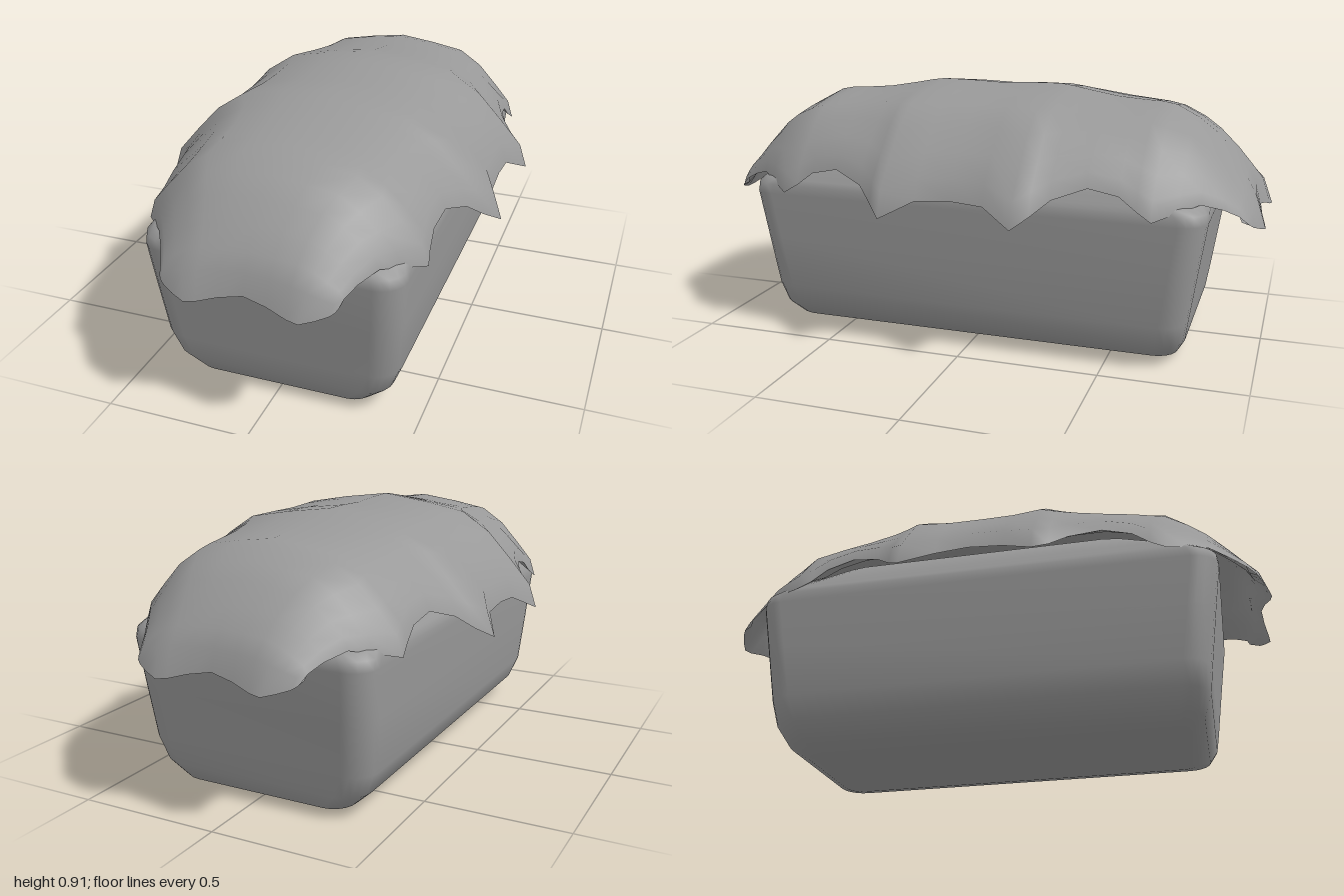
import * as THREE from 'three';

const material = new THREE.MeshStandardMaterial({ color: 0x999999, side: THREE.DoubleSide });

// Joins equal-length rows of points into one smooth surface
function skin(rows, closed) {
  const n = rows[0].length, index = [];
  for (let r = 0; r < rows.length - 1; r++) {
    for (let i = 0; i < (closed ? n : n - 1); i++) {
      const j = (i + 1) % n, a = r * n + i, b = r * n + j;
      index.push(a, a + n, b, b, a + n, b + n);
    }
  }
  const geo = new THREE.BufferGeometry();
  geo.setAttribute('position', new THREE.Float32BufferAttribute(rows.flat(2), 3));
  geo.setIndex(index);
  geo.computeVertexNormals();
  return geo;
}

// Rounded rectangle at height y
function ring(y, hx, hz, r) {
  const pts = [], steps = 5;
  for (let c = 0; c < 4; c++) {
    const sx = c === 0 || c === 3 ? 1 : -1, sz = c < 2 ? 1 : -1;
    for (let i = 0; i <= steps; i++) {
      const a = (c + i / steps) * Math.PI / 2;
      pts.push([sx * (hx - r) + r * Math.cos(a), y, sz * (hz - r) + r * Math.sin(a)]);
    }
  }
  return pts;
}

// Tapered loaf body with a domed top: height, half width, half length, corner radius
function makeBody() {
  const sections = [
    [0, 0, 0, 0], [0, 0.22, 0.66, 0.05], [0, 0.24, 0.69, 0.06],
    [0.02, 0.325, 0.733, 0.08], [0.08, 0.39, 0.762, 0.09], [0.16, 0.422, 0.774, 0.09],
    [0.35, 0.438, 0.802, 0.09], [0.52, 0.45, 0.828, 0.09], [0.555, 0.449, 0.826, 0.1],
    [0.575, 0.438, 0.808, 0.12], [0.6, 0.425, 0.76, 0.15], [0.66, 0.39, 0.62, 0.18],
    [0.72, 0.28, 0.5, 0.2], [0.74, 0, 0, 0],
  ];
  // Rings run clockwise from above, so build top-down for outward faces
  return skin(sections.reverse().map((s) => ring(...s)), true);
}

// Draped cover: z, hem x, hem y, spine height
const stations = [
  [0, 0.57, 0.58, 0.908], [0.12, 0.572, 0.57, 0.906], [0.23, 0.63, 0.515, 0.902],
  [0.28, 0.58, 0.55, 0.897], [0.34, 0.53, 0.6, 0.89], [0.45, 0.485, 0.637, 0.876],
  [0.55, 0.475, 0.615, 0.862], [0.61, 0.48, 0.57, 0.855], [0.66, 0.49, 0.54, 0.844],
  [0.74, 0.425, 0.565, 0.806], [0.8, 0.375, 0.583, 0.765], [0.87, 0.33, 0.56, 0.7],
  [0.92, 0.305, 0.535, 0.64],
];
// Across the half width: fraction of hem x, fraction of the drop
const outer = [[0, 0], [0.28, 0.06], [0.52, 0.13], [0.69, 0.31], [0.83, 0.55], [0.955, 0.78], [1, 1]];
const inner = [[0, 0.1], [0.28, 0.16], [0.5, 0.3], [0.62, 0.5], [0.74, 0.7], [0.9, 0.88], [1, 1]];
// End hem: x, y and z for each of the same columns
const endHem = [
  [0, 0.51, 0.97], [0.08, 0.495, 0.98], [0.15, 0.475, 0.995], [0.19, 0.47, 1],
  [0.235, 0.482, 0.985], [0.275, 0.495, 0.965], [0.29, 0.505, 0.955],
];

// Grid with a scalloped, pointed hem; endY and endZ place the bend above the end hem
function makeCover(across, endY, endZ) {
  const mirrorRow = (half) => [...half.slice(1).reverse().map(([x, y, z]) => [-x, y, z]), ...half];
  // Gentle folds run across the loaf between the hem points
  const fold = (z) => -0.006 * Math.cos((z / 0.44) * Math.PI * 2);
  const rows = stations.map(([z, hx, hy, top]) =>
    mirrorRow(across.map(([f, d]) => [f * hx, top - d * (top - hy) + fold(z) * (1 - d), z])));
  rows.push(mirrorRow(across.map(([f, d], i) =>
    [f * 0.297, endY + d * (0.515 - endY), endZ + 0.5 * (endHem[i][2] - 0.97)])));
  rows.push(mirrorRow(endHem));
  const back = rows.slice(1).reverse().map((row) => row.map(([x, y, z]) => [x, y, -z]));
  return skin([...back, ...rows], false);
}

export function createModel() {
  const group = new THREE.Group();
  const parts = {
    loafBody: makeBody(),
    scallopedCover: makeCover(outer, 0.58, 0.95),
    coverUnderside: makeCover(inner, 0.56, 0.935),
  };
  for (const [name, geo] of Object.entries(parts)) {
    const mesh = new THREE.Mesh(geo, material);
    mesh.name = name;
    group.add(mesh);
  }
  return group;
}
